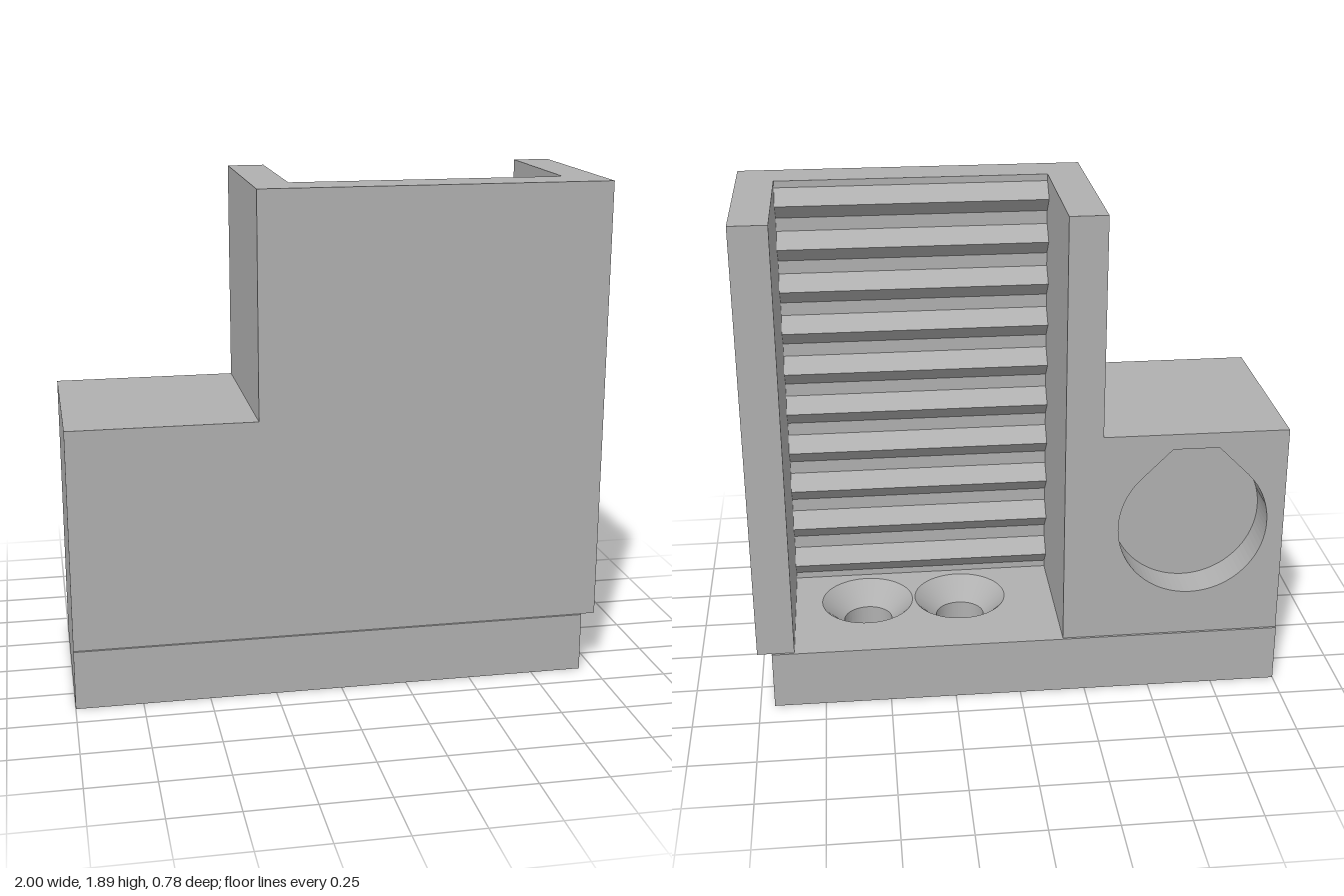
import * as THREE from 'three';

const BASE_TOP = 0.225, TOP = 1.895, STEP = 1.06;
const HALF = 0.379, BASE_HALF = 0.388;          // half depths of body and base
const WALL_Z = 0.21, IN_R = -0.165, IN_L = 0.86; // channel limits
const SCREWS = [[0.205, -0.004], [0.575, -0.004]];
const PINS = [[0.7, -0.255], [0.085, 0.25]];

const polygon = (pts) => new THREE.Shape(pts.map(([x, y]) => new THREE.Vector2(x, y)));

// Extrude an x-y outline between two z planes
function slab(shape, z0, z1) {
  return new THREE.ExtrudeGeometry(shape, { depth: z1 - z0, bevelEnabled: false, curveSegments: 32 })
    .translate(0, 0, z0);
}

// Base outline in plan with round holes [x, z, radius], extruded from y0 to y1
function baseLayer(y0, y1, holes) {
  const d = BASE_HALF;
  const shape = polygon([[-1, -d], [0.945, -d], [0.945, d], [-1, d]]);
  for (const [x, z, r] of holes) {
    shape.holes.push(new THREE.Path().absarc(x, -z, r, 0, Math.PI * 2, true));
  }
  return slab(shape, y0, y1).rotateX(-Math.PI / 2);
}

export function createModel() {
  const model = new THREE.Group();
  model.name = 'rackHolder';
  const grey = new THREE.MeshStandardMaterial({ color: 0xb0b0b0 });
  grey.name = 'grey plastic';
  const add = (name, geometry) => {
    const mesh = new THREE.Mesh(geometry, grey);
    mesh.name = name;
    model.add(mesh);
    return mesh;
  };

  // Base: lower layer with screw and blind pin holes, upper layer with countersinks
  const split = 0.14, sinkR = 0.18, screwR = 0.095;
  add('baseLower', baseLayer(0, split, [
    ...SCREWS.map(([x, z]) => [x, z, screwR]),
    ...PINS.map(([x, z]) => [x, z, 0.085]),
  ]));
  add('baseUpper', baseLayer(split, BASE_TOP, SCREWS.map(([x, z]) => [x, z, sinkR])));
  for (const [x, z] of SCREWS) {
    // Profile runs downwards so the cone faces inwards
    const cone = new THREE.LatheGeometry(
      [new THREE.Vector2(sinkR, BASE_TOP), new THREE.Vector2(screwR, split)], 64);
    add('countersink', cone.translate(x, 0, z));
  }

  // Front wall with the stepped outline
  add('frontWall', slab(polygon([
    [-1, BASE_TOP], [1, BASE_TOP], [1, TOP], [-0.305, TOP], [-0.305, STEP], [-1, STEP],
  ]), WALL_Z, HALF));

  // Side wall at +x
  add('leftWall', slab(polygon([
    [IN_L, BASE_TOP], [1, BASE_TOP], [1, TOP], [IN_L, TOP],
  ]), -HALF, WALL_Z));

  // Stepped side block at -x, its rear layer cut by a recess
  const blockOutline = () => polygon([
    [-1, BASE_TOP], [IN_R, BASE_TOP], [IN_R, TOP], [-0.305, TOP], [-0.305, STEP], [-1, STEP],
  ]);
  const recessZ = -HALF + 0.145;
  add('rightBlock', slab(blockOutline(), recessZ, WALL_Z));

  // Recess: circle with 45 degree shoulders up to a short flat top
  const cx = -0.652, cy = 0.685, r = 0.284, flat = 0.315;
  const halfFlat = r * Math.SQRT2 - flat;
  const recess = new THREE.Path();
  recess.absarc(cx, cy, r, Math.PI * 0.75, Math.PI * 2.25, false);
  recess.lineTo(cx + halfFlat, cy + flat);
  recess.lineTo(cx - halfFlat, cy + flat);
  recess.closePath();
  const rear = blockOutline();
  rear.holes.push(recess);
  add('rightBlockRecess', slab(rear, -HALF, recessZ));

  // Rack of ten horizontal teeth on the channel wall
  const count = 10, pitch = (TOP - BASE_TOP) / count, toothHalf = 0.058;
  const tooth = polygon([[-0.002, -toothHalf], [0, -toothHalf], [0.055, 0], [0, toothHalf], [-0.002, toothHalf]]);
  const toothGeometry = slab(tooth, IN_R, IN_L)
    .rotateY(Math.PI / 2)        // profile x becomes -z, length runs along x
    .translate(0, 0, WALL_Z);
  for (let i = 0; i < count; i++) {
    add('rackTooth', toothGeometry).position.y = BASE_TOP + pitch * (i + 0.5);
  }
  return model;
}
